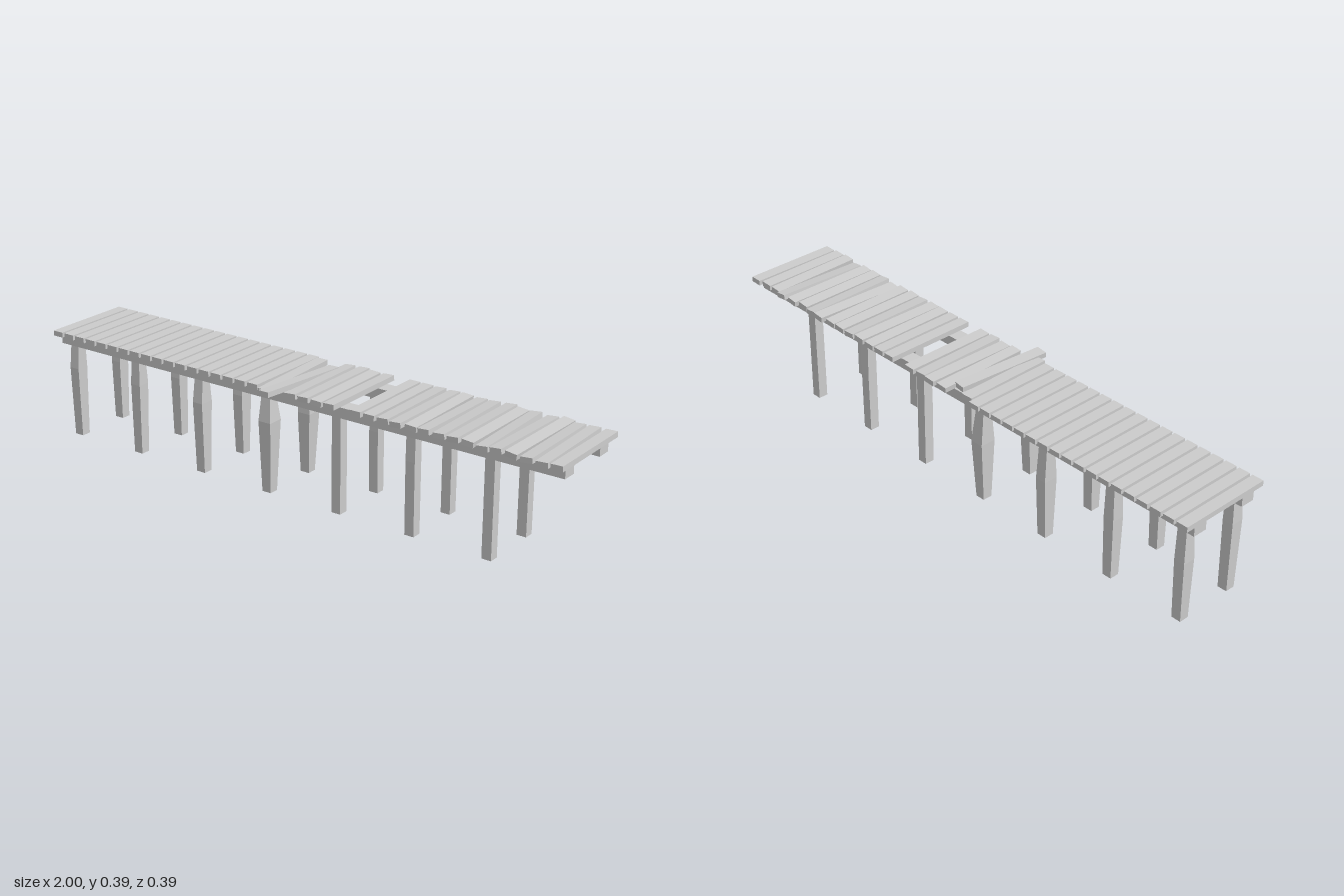
import * as THREE from 'three';

const wood = new THREE.MeshStandardMaterial({ color: 0xcccccc, flatShading: true });

function box(name, size, pos, rot = [0, 0, 0]) {
  const mesh = new THREE.Mesh(new THREE.BoxGeometry(...size), wood);
  mesh.name = name;
  mesh.position.set(...pos);
  mesh.rotation.set(...rot);
  return mesh;
}

// Square post whose middle ring is swollen: bulge = [x-, x+, z-, z+] at height midY
function post(x, z, bulge, midY) {
  const h = 0.335, w = 0.034;
  const geo = new THREE.BoxGeometry(w, h, w, 1, 2, 1);
  const p = geo.attributes.position;
  for (let i = 0; i < p.count; i++) {
    if (Math.abs(p.getY(i)) < 0.001) {
      const px = p.getX(i), pz = p.getZ(i);
      p.setXYZ(i, px + (px < 0 ? -bulge[0] : bulge[1]), midY - h / 2,
        pz + (pz < 0 ? -bulge[2] : bulge[3]));
    }
  }
  geo.computeVertexNormals();
  const mesh = new THREE.Mesh(geo, wood);
  mesh.name = 'post';
  mesh.position.set(x, h / 2, z);
  return mesh;
}

export function createModel() {
  const pier = new THREE.Group();
  pier.name = 'pier';
  const rows = [0.0875, -0.1205];

  // Two long beams under the deck
  for (const z of rows) pier.add(box('beam', [1.985, 0.036, 0.051], [-0.003, 0.352, z]));

  // Seven pairs of posts, the first four pairs swollen by wear
  const bulges = [
    [0.004, 0, 0.004, 0.006], [0.003, 0.002, 0.006, 0.003],
    [0.003, 0.002, 0.008, 0.009], [0.004, 0.01, 0.01, 0.012],
    [0, 0, 0.002, 0], [0, 0, 0, 0.002], [0, 0, 0, 0]];
  bulges.forEach((b, i) => {
    const x = -0.945 + i * 0.28;
    pier.add(post(x, rows[0], b, 0.25));
    pier.add(post(x, rows[1], [b[0], b[1], b[3], b[2]], 0.215));
  });

  // Deck planks: [yaw, roll, pitch, z shift] for the loosened ones
  const worn = {
    18: [0.03, 0, 0.015, 0.014],
    20: [0.01, 0.08, 0, 0], 21: [-0.01, 0.06, 0.01, -0.003],
    22: [0.015, -0.05, 0, 0.002], 23: [0, 0.05, 0, 0],
    27: [0.008, 0.07, 0, 0], 28: [-0.01, 0.08, 0.005, 0.002],
    29: [0.012, -0.07, 0, -0.001], 30: [-0.008, 0.08, -0.006, 0.001],
    31: [0.015, 0.09, 0, 0], 32: [-0.02, 0.1, 0.012, -0.006],
    33: [0.012, -0.09, -0.008, 0], 34: [0.022, 0.11, 0.01, 0.004],
    35: [-0.015, 0.1, -0.01, 0], 36: [-0.025, -0.12, 0.012, -0.005],
    37: [0.018, 0.09, -0.006, 0.005], 38: [0.02, 0.06, 0.006, 0.004],
    39: [0, 0.03, 0, 0]
  };
  const deck = new THREE.Group();
  deck.name = 'deck';
  for (let i = 0; i < 40; i++) {
    if (i === 19 || i === 24) continue; // displaced and missing planks
    const [yaw, roll, pitch, dz] = worn[i] || [0, 0, 0, 0];
    deck.add(box('plank', [0.0405, 0.018, 0.332], [-0.98 + i * 0.05025, 0.379, -0.018 + dz],
      [pitch, yaw, roll]));
  }
  // Plank slid out over the front edge
  deck.add(box('loosePlank', [0.042, 0.018, 0.335], [-0.028, 0.382, 0.027], [-0.015, -0.1, 0.05]));
  pier.add(deck);
  return pier;
}
